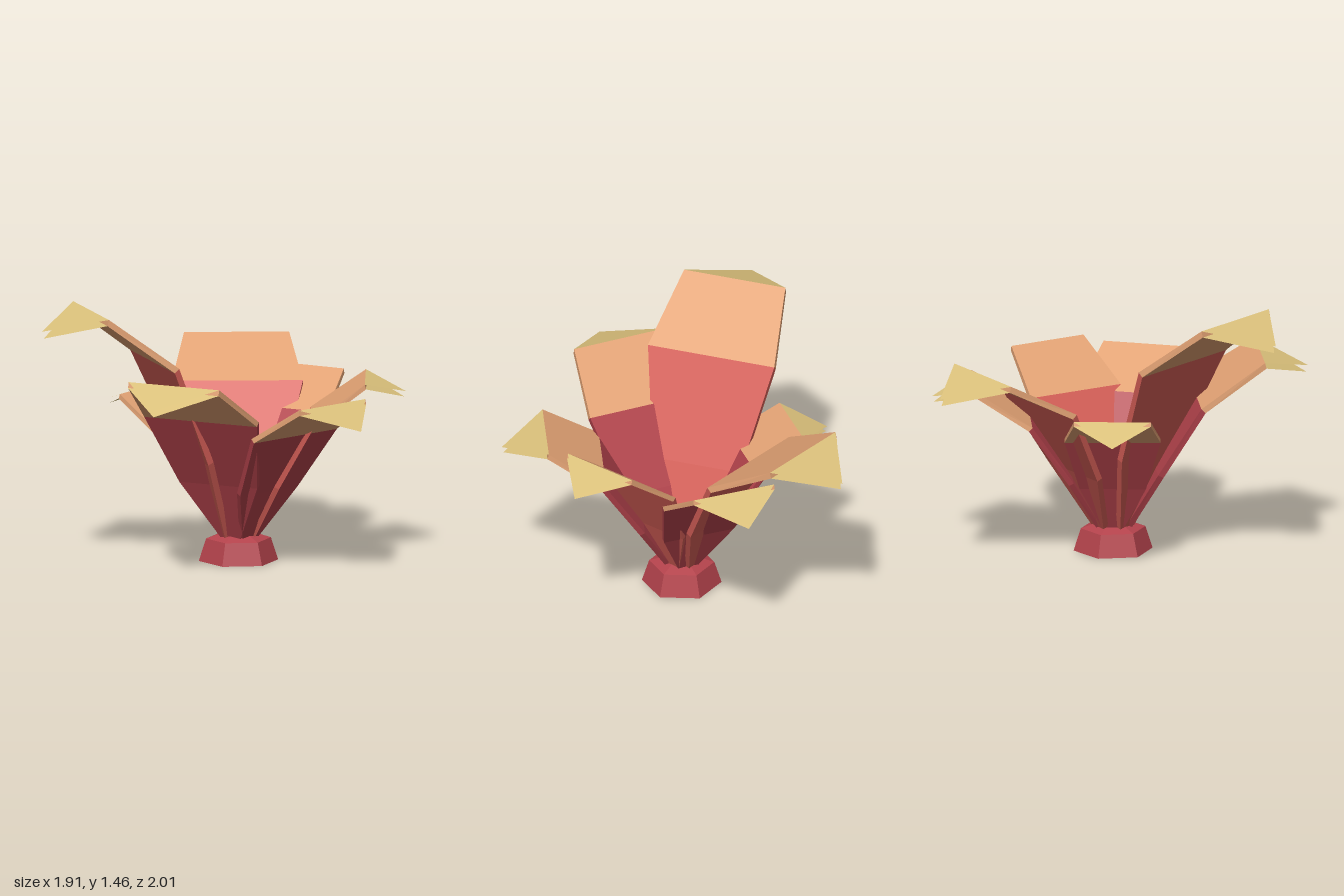
import * as THREE from 'three';

const material = (name, color, side = THREE.FrontSide) => {
  const m = new THREE.MeshStandardMaterial({ color, side });
  m.name = name;
  return m;
};

// Flat-faced geometry from a list of polygons (each a list of corner points)
function facets(polygons) {
  const pos = [];
  for (const p of polygons)
    for (let i = 1; i < p.length - 1; i++) pos.push(...p[0], ...p[i], ...p[i + 1]);
  const g = new THREE.BufferGeometry();
  g.setAttribute('position', new THREE.Float32BufferAttribute(pos, 3));
  g.computeVertexNormals();
  return g;
}

// Thick strip lofted through four-cornered sections: inner left, inner right, outer right, outer left
function strip(sections) {
  const faces = [];
  for (let i = 0; i < sections.length - 1; i++) {
    const a = sections[i], b = sections[i + 1];
    for (let k = 0; k < 4; k++) {
      const n = (k + 1) % 4;
      faces.push([a[k], b[k], b[n], a[n]]);
    }
  }
  return faces;
}

// One section at radius r and height y, with the outer side pushed along (nr, ny)
const section = (r, y, w, nr, ny) => [
  [-w / 2, y, r], [w / 2, y, r], [w / 2, y + ny, r + nr], [-w / 2, y + ny, r + nr],
];

export function createModel() {
  const crimson = material('crimson', 0xb4434c);
  const coral = material('coral', 0xd86058);
  const orange = material('orange', 0xe2a274);
  const tan = material('tan', 0xdcc27c, THREE.DoubleSide);

  const model = new THREE.Group();
  model.name = 'plant';
  const centre = new THREE.Group();
  centre.name = 'rosette';
  centre.position.set(-0.035, 0, -0.1);
  model.add(centre);

  const add = (parent, name, geometry, mat) => {
    const mesh = new THREE.Mesh(geometry, mat);
    mesh.name = name;
    parent.add(mesh);
    return mesh;
  };

  // Six-sided foot with a bevelled top
  const frustum = (name, rTop, rBottom, y0, y1) => {
    const g = new THREE.CylinderGeometry(rTop, rBottom, y1 - y0, 6).toNonIndexed();
    g.rotateY(Math.PI / 6);
    g.computeVertexNormals();
    add(centre, name, g, crimson).position.y = (y0 + y1) / 2;
  };
  frustum('foot', 0.18, 0.22, 0, 0.125);
  frustum('footBevel', 0.09, 0.18, 0.125, 0.155);

  // bearing, bend radius, bend height, end radius, end height, end width, blade colour
  const leaves = [
    [-0.292, 0.477, 1.17, 0.862, 1.455, 0.594, coral],
    [0.487, 0.454, 0.88, 0.814, 1.115, 0.555, crimson],
    [1.695, 0.437, 0.78, 0.752, 0.975, 0.504, crimson],
    [2.496, 0.397, 0.81, 0.7, 1.03, 0.464, coral],
    [-2.705, 0.461, 0.78, 0.769, 0.97, 0.48, crimson],
    [-2.19, 0.469, 0.92, 0.853, 1.12, 0.58, coral],
    [-1.195, 0.366, 0.73, 0.64, 0.9, 0.425, crimson],
  ];

  for (const [bearing, rBend, yBend, rEnd, yEnd, width, red] of leaves) {
    const leaf = new THREE.Group();
    leaf.name = 'leaf';
    leaf.rotation.y = bearing;
    centre.add(leaf);

    const t = 0.06 * width;
    const wBend = width * 1.246;
    const root = section(0.06, 0.13, 0.1, t * 0.9, -t * 0.3);
    const middle = section(0.06 + (rBend - 0.06) * 0.42, 0.15 + (yBend - 0.15) * 0.45, wBend * 0.69, t * 0.88, -t * 0.45);
    const bend = section(rBend, yBend, wBend, t * 0.7, -t * 0.7);
    const end = section(rEnd, yEnd, width, t * 0.25, -t * 0.95);

    add(leaf, 'blade', facets(strip([root, middle, bend])), red);
    add(leaf, 'upperBlade', facets([...strip([bend, end]), [end[0], end[3], end[2], end[1]]]), orange);

    // Pointed tip made of two layered plates
    const rTip = rEnd + width * 0.483, yTip = yEnd - width * 0.17;
    add(leaf, 'tip', facets([
      [end[0], [0, yTip, rTip], end[1]],
      [end[3], end[2], [0, yTip - t * 1.1, rTip - t * 0.3]],
    ]), tan);
  }
  return model;
}
